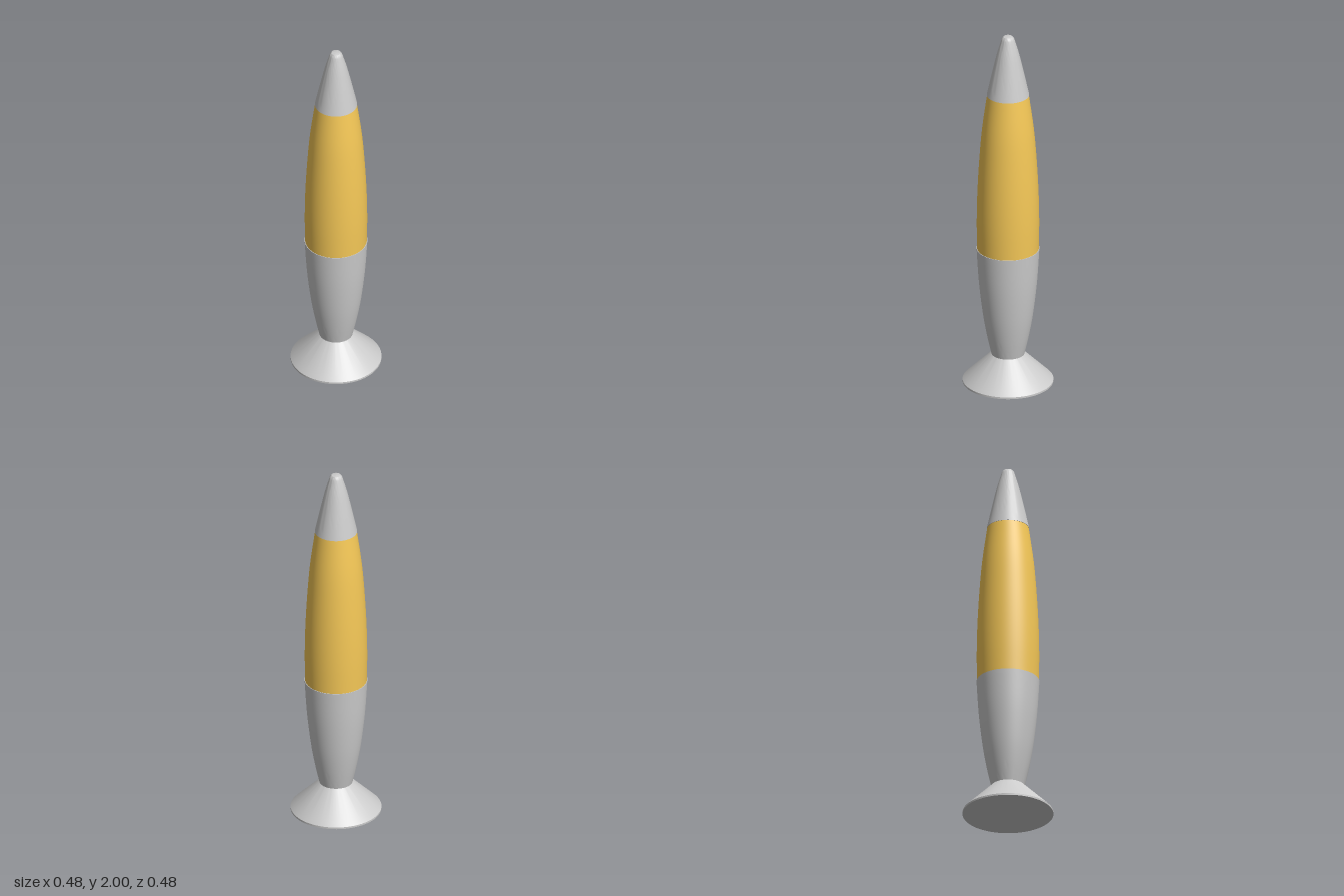
import * as THREE from 'three';
import { toCreasedNormals } from 'three/addons/utils/BufferGeometryUtils.js';

const SEGMENTS = 64;
const points = (list) => list.map(([r, y]) => new THREE.Vector2(r, y));

// Smooth profile through a few [radius, height] points
const curve = (list, steps = 16) => new THREE.SplineCurve(points(list)).getPoints(steps);

// Turned part, listed from bottom to top, with sharp rims kept
function turned(name, profile, color) {
  const geometry = toCreasedNormals(new THREE.LatheGeometry(profile, SEGMENTS), 0.5);
  const mesh = new THREE.Mesh(geometry, new THREE.MeshStandardMaterial({ color }));
  mesh.name = name;
  return mesh;
}

export function createModel() {
  const lamp = new THREE.Group();
  lamp.name = 'lavaLamp';
  const grey = 0xcccccc;

  // Flared foot with a thin rim and closed underside
  lamp.add(turned('foot', points([
    [0, 0], [0.24, 0], [0.24, 0.01], [0.225, 0.025], [0.088, 0.16], [0, 0.16],
  ]), grey));

  // Lower holder, swelling up to the glass
  lamp.add(turned('holder', [
    ...points([[0, 0.16]]),
    ...curve([[0.088, 0.16], [0.112, 0.27], [0.134, 0.4], [0.154, 0.58], [0.166, 0.77]]),
    ...points([[0.158, 0.77]]),
  ], grey));

  // Tapering glass vessel
  lamp.add(turned('glass', [
    ...points([[0, 0.765]]),
    ...curve([[0.163, 0.765], [0.165, 0.92], [0.162, 1.08], [0.153, 1.26], [0.137, 1.46], [0.11, 1.66]], 20),
    ...points([[0, 1.66]]),
  ], 0xf5c857));

  // Pointed cap with a small rounded tip
  lamp.add(turned('cap', [
    ...points([[0, 1.66]]),
    ...curve([[0.112, 1.66], [0.086, 1.78], [0.058, 1.9], [0.035, 1.98]], 12),
    ...points([[0.031, 1.99], [0.025, 1.997], [0.016, 2], [0, 2]]),
  ], grey));

  return lamp;
}
